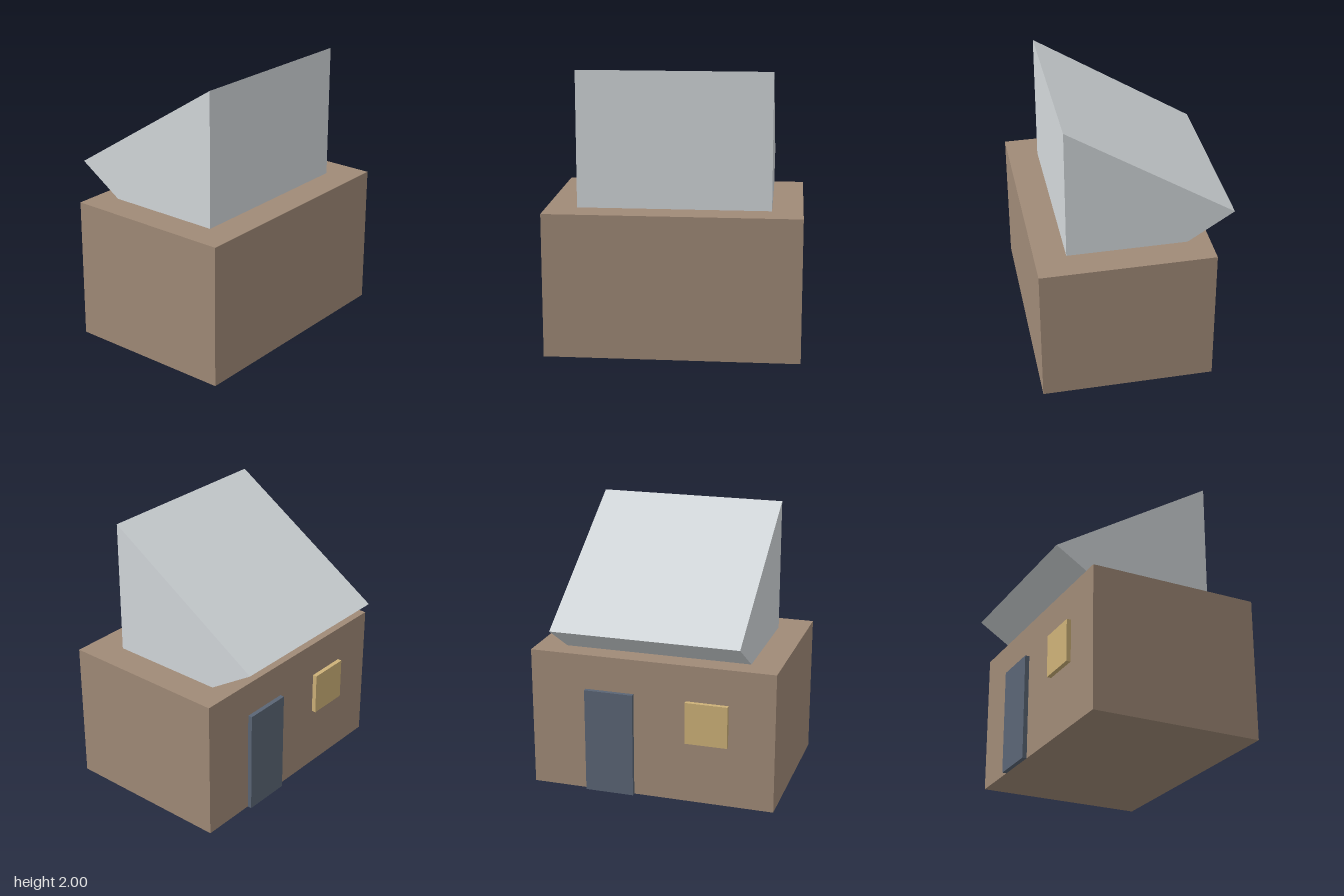
import * as THREE from 'three';

const material = (name, color) => {
  const m = new THREE.MeshStandardMaterial({ color });
  m.name = name;
  return m;
};

export function createModel() {
  const group = new THREE.Group();
  group.name = 'house';
  const wall = material('brown wall', 0xa08a77);
  const roofing = material('pale grey roof', 0xd3d8db);
  const doorPaint = material('slate blue door', 0x5a6575);
  const glass = material('yellow window', 0xcdb178);

  // Box given by its minimum and maximum corners
  const box = (name, mat, [x0, y0, z0], [x1, y1, z1]) => {
    const mesh = new THREE.Mesh(new THREE.BoxGeometry(x1 - x0, y1 - y0, z1 - z0), mat);
    mesh.position.set((x0 + x1) / 2, (y0 + y1) / 2, (z0 + z1) / 2);
    mesh.name = name;
    group.add(mesh);
  };

  const backWall = -0.533;
  const backFace = -0.565;
  box('walls', wall, [-0.902, 0, backWall], [0.902, 1.031, 0.704]);
  box('door', doorPaint, [0.13, 0, backFace], [0.49, 0.775, backWall]);
  box('window', glass, [-0.567, 0.458, backFace], [-0.257, 0.767, backWall]);

  // Roof: a triangular prism lying across x, its lowest edge sunk into the walls
  const profile = new THREE.Shape([
    new THREE.Vector2(-0.48, 0.484),
    new THREE.Vector2(0.704, 1.242),
    new THREE.Vector2(-0.48, 2),
  ]);
  const width = 1.368;
  const prism = new THREE.ExtrudeGeometry(profile, { depth: width, bevelEnabled: false });
  prism.translate(0, 0, -width / 2);
  prism.rotateY(Math.PI / 2); // profile x becomes -z
  const roof = new THREE.Mesh(prism, roofing);
  roof.name = 'roof';
  group.add(roof);

  return group;
}
